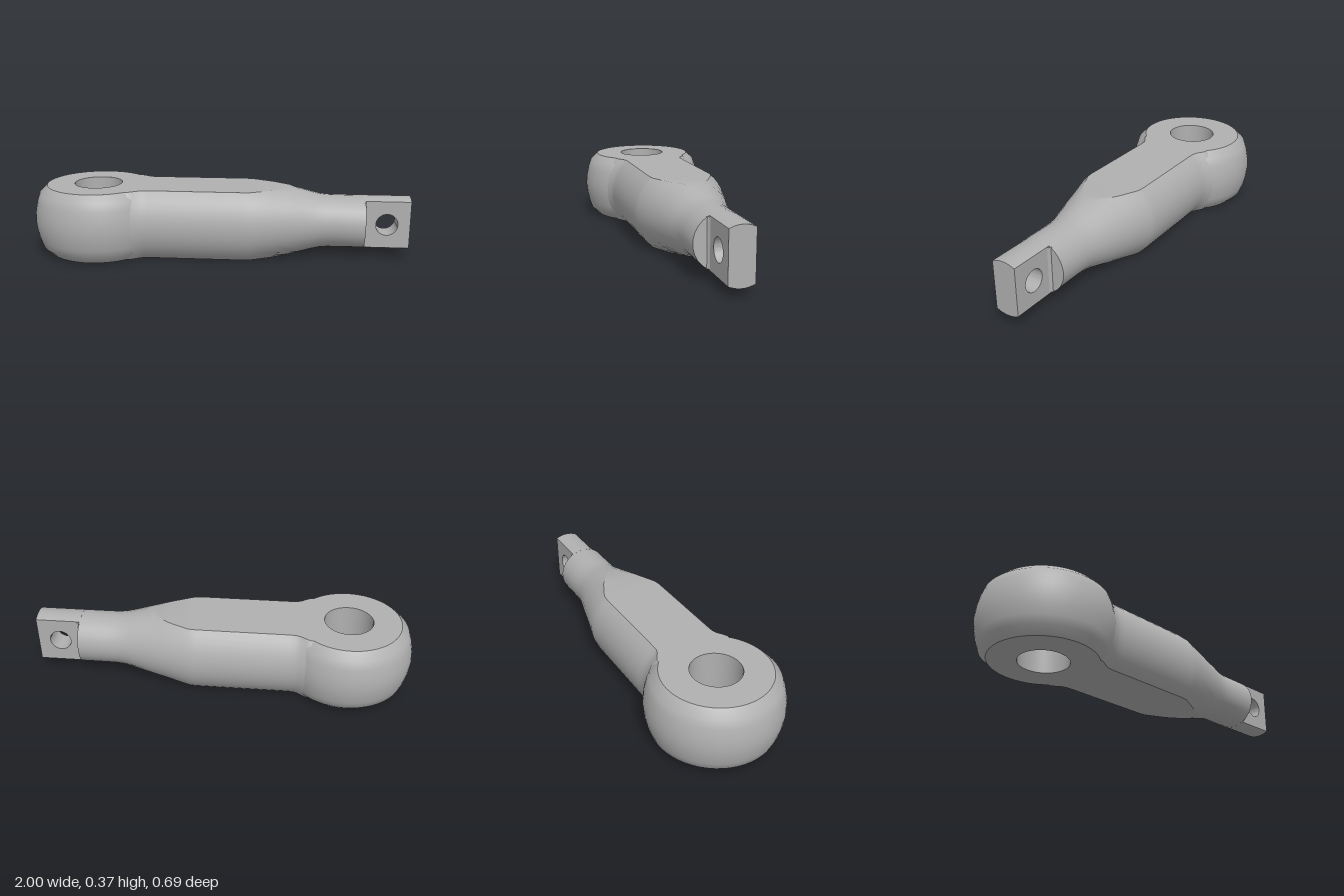
import * as THREE from 'three';
import { toCreasedNormals } from 'three/addons/utils/BufferGeometryUtils.js';

const MID = 0.1825; // half of the thickness, also the height of the axis
const CREASE = 0.6;

// Round bar along x with its top and bottom milled flat; sections are [x, radius]
function flattenedBar(sections, arc = 14) {
  const pos = [], index = [];
  const n = arc * 2;
  for (const [x, r] of sections) {
    const a = Math.asin(Math.min(1, MID / r));
    for (let j = 0; j < n; j++) {
      const t = -a + (2 * a * (j % arc)) / (arc - 1) + (j >= arc ? Math.PI : 0);
      pos.push(x, MID + r * Math.sin(t), r * Math.cos(t));
    }
  }
  const last = (sections.length - 1) * n;
  for (let i = 0; i < last; i += n) {
    for (let j = 0; j < n; j++) {
      const k = (j + 1) % n;
      index.push(i + j, i + n + j, i + k, i + n + j, i + n + k, i + k);
    }
  }
  // shoulder face at the narrow end
  pos.push(sections[sections.length - 1][0], MID, 0);
  for (let j = 0; j < n; j++) index.push(last + n, last + ((j + 1) % n), last + j);
  const g = new THREE.BufferGeometry();
  g.setAttribute('position', new THREE.Float32BufferAttribute(pos, 3));
  g.setIndex(index);
  return toCreasedNormals(g, CREASE);
}

export function createModel() {
  const group = new THREE.Group();
  const steel = new THREE.MeshStandardMaterial({ color: 0xb0b0b0 });
  steel.name = 'grey steel';
  const add = (name, geometry) => {
    const mesh = new THREE.Mesh(geometry, steel);
    mesh.name = name;
    group.add(mesh);
    return mesh;
  };

  // Barrel-shaped eye with a vertical bore
  const profile = [
    [0.127, 0.365], [0.127, 0], [0.272, 0], [0.312, 0.038], [0.327, 0.08], [0.338, 0.13],
    [0.343, MID], [0.338, 0.235], [0.327, 0.285], [0.312, 0.327], [0.272, 0.365], [0.127, 0.365],
  ].map(([r, y]) => new THREE.Vector2(r, y));
  add('eyeHead', toCreasedNormals(new THREE.LatheGeometry(profile, 56), CREASE)).position.x = -0.657;

  // Shank: flares into the eye, tapers to a round neck
  add('shank', flattenedBar([
    [-0.5, 0.27], [-0.46, 0.272], [-0.435, 0.262], [-0.41, 0.25], [-0.385, 0.244], [-0.35, 0.243],
    [0.13, 0.243], [0.17, 0.24], [0.28, 0.21], [0.37, 0.187], [0.42, 0.173], [0.49, 0.154],
    [0.53, 0.145], [0.57, 0.141], [0.62, 0.14], [0.765, 0.14],
  ]));

  // Tang: flat sides with a cross hole, top and bottom following the neck radius
  const side = new THREE.Shape();
  side.moveTo(0.76, -0.125);
  side.lineTo(1, -0.125);
  side.lineTo(1, 0.125);
  side.lineTo(0.76, 0.125);
  side.closePath();
  const hole = new THREE.Path();
  hole.absarc(0.88, 0, 0.057, 0, Math.PI * 2, true);
  side.holes.push(hole);
  const tang = new THREE.ExtrudeGeometry(side, { depth: 0.126, steps: 8, bevelEnabled: false, curveSegments: 28 });
  tang.translate(0, 0, -0.063);
  const p = tang.attributes.position;
  for (let i = 0; i < p.count; i++) {
    const y = p.getY(i);
    if (Math.abs(y) > 0.12) p.setY(i, Math.sign(y) * Math.sqrt(0.14 ** 2 - p.getZ(i) ** 2));
  }
  tang.translate(0, MID, 0);
  add('tang', toCreasedNormals(tang, CREASE));

  // Small fillet where the tang meets the shoulder
  const plan = new THREE.Shape([
    [0.76, -0.075], [0.766, -0.073], [0.77, -0.068], [0.779, -0.063],
    [0.779, 0.063], [0.77, 0.068], [0.766, 0.073], [0.76, 0.075],
  ].map(([x, z]) => new THREE.Vector2(x, z)));
  const fillet = new THREE.ExtrudeGeometry(plan, { depth: 0.24, bevelEnabled: false });
  fillet.rotateX(-Math.PI / 2).translate(0, MID - 0.12, 0);
  add('tangFillet', fillet);

  return group;
}
